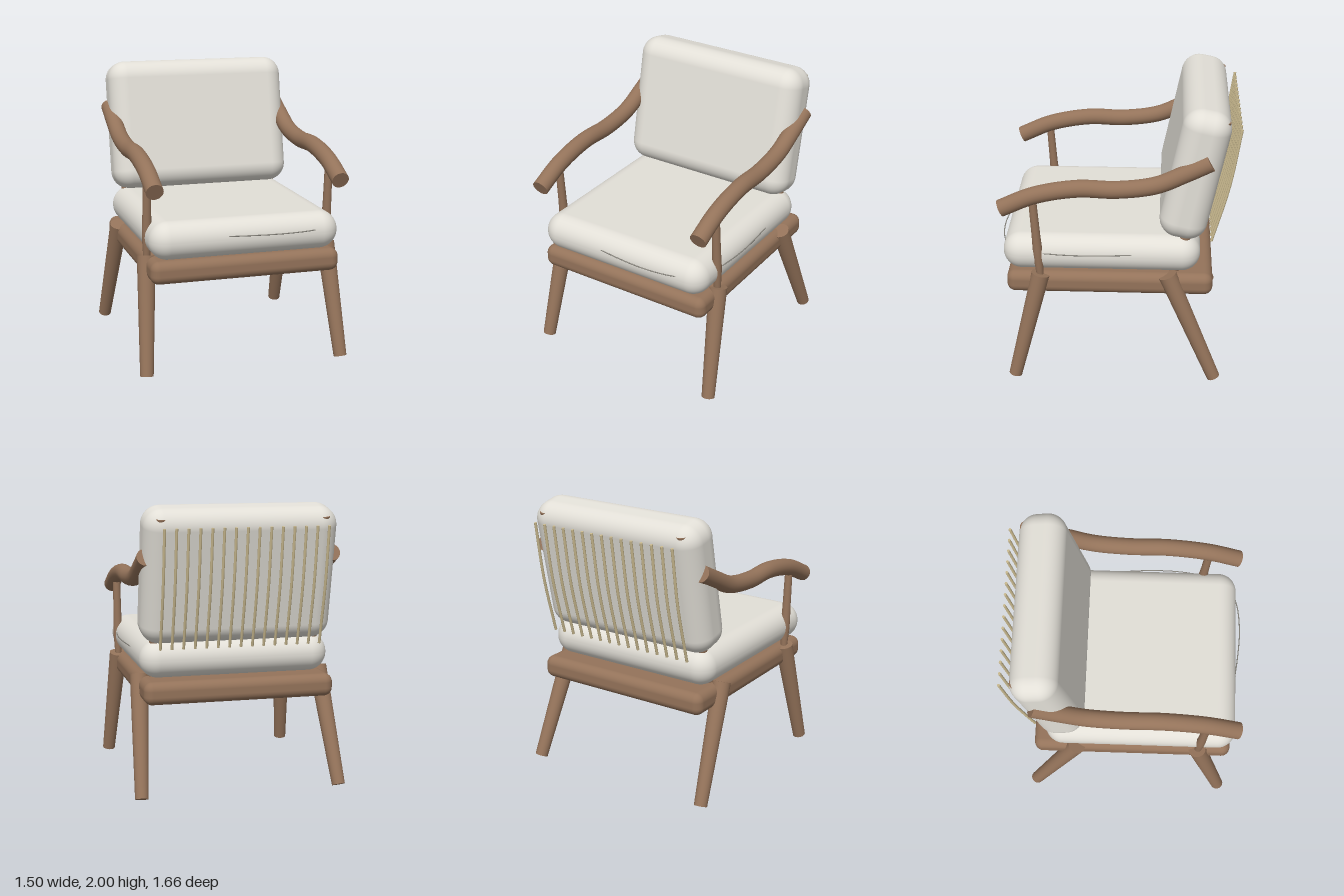
import * as THREE from 'three';
import { RoundedBoxGeometry } from 'three/addons/geometries/RoundedBoxGeometry.js';

const mat = (name, color) => {
  const m = new THREE.MeshStandardMaterial({ color });
  m.name = name;
  return m;
};
const V = (x, y, z) => new THREE.Vector3(x, y, z);

export function createModel() {
  const wood = mat('walnut wood', 0x94735a);
  const fabric = mat('cushion fabric', 0xe2dfd7);
  const cane = mat('pale slat wood', 0xc9b98f);
  const thread = mat('grey piping', 0x8a877f);
  const chair = new THREE.Group();
  chair.name = 'armchair';

  const add = (parent, name, geometry, material) => {
    const mesh = new THREE.Mesh(geometry, material);
    mesh.name = name;
    parent.add(mesh);
    return mesh;
  };

  // Tapered round rod between two points
  const rod = (name, a, b, ra, rb, material) => {
    const dir = b.clone().sub(a);
    const mesh = add(chair, name, new THREE.CylinderGeometry(rb, ra, dir.length(), 24), material);
    mesh.position.copy(a).lerp(b, 0.5);
    mesh.quaternion.setFromUnitVectors(V(0, 1, 0), dir.normalize());
    return mesh;
  };

  // Round bar along a curve, closed with flat discs
  const bar = (name, points, radius, material, steps = 40, sides = 24) => {
    const group = new THREE.Group();
    group.name = name;
    const curve = new THREE.CatmullRomCurve3(points);
    add(group, name + 'Tube', new THREE.TubeGeometry(curve, steps, radius, sides), material);
    for (const t of [0, 1]) {
      const cap = add(group, name + 'End', new THREE.CircleGeometry(radius, sides), material);
      cap.position.copy(curve.getPoint(t));
      cap.quaternion.setFromUnitVectors(V(0, 0, 1), curve.getTangent(t).multiplyScalar(t ? 1 : -1));
    }
    chair.add(group);
  };

  // Seat base and cushions
  const base = add(chair, 'seatFrame', new RoundedBoxGeometry(1.34, 0.16, 1.43, 6, 0.06), wood);
  base.position.set(0, 0.73, 0.055);
  const seat = add(chair, 'seatCushion', new RoundedBoxGeometry(1.34, 0.265, 1.365, 8, 0.13), fabric);
  seat.position.set(0, 0.94, 0.112);
  const back = add(chair, 'backCushion', new RoundedBoxGeometry(1.34, 0.945, 0.33, 8, 0.13), fabric);
  back.position.set(0, 1.527, -0.52);
  back.rotation.x = -0.205;

  for (const s of [1, -1]) {
    const side = s > 0 ? 'left' : 'right';
    // Splayed legs
    rod(side + 'FrontLeg', V(s * 0.705, 0.012, 0.727), V(s * 0.652, 0.805, 0.53), 0.046, 0.064, wood);
    rod(side + 'BackLeg', V(s * 0.705, 0.02, -0.686), V(s * 0.652, 0.81, -0.347), 0.046, 0.064, wood);
    // Back posts, mostly inside the cushion
    rod(side + 'BackPost', V(s * 0.56, 0.76, -0.375), V(s * 0.56, 1.92, -0.71), 0.04, 0.04, wood);

    // Turned support between front leg and arm
    const profile = [[0.024, 0], [0.028, 0.06], [0.033, 0.14], [0.033, 0.2], [0.03, 0.3], [0.027, 0.6]]
      .map(p => new THREE.Vector2(...p));
    const support = add(chair, side + 'ArmSupport', new THREE.LatheGeometry(profile, 20), wood);
    support.position.set(s * 0.65, 0.8, 0.535);
    support.rotation.x = 0.065;

    // Flowing armrest
    const arm = [[1.3, 0.79], [1.4, 0.56], [1.455, 0.27], [1.452, 0], [1.49, -0.26], [1.575, -0.45], [1.66, -0.62]];
    bar(side + 'Armrest', arm.map(([y, z]) => V(s * 0.65, y, z)), 0.06, wood);
  }

  // Row of bowed slats behind the back cushion
  for (let i = 0; i < 15; i++) {
    const x = -0.56 + i * 0.08;
    bar('backSlat', [V(x, 1.035, -0.643), V(x, 1.45, -0.753), V(x, 1.86, -0.82)], 0.01, cane, 10, 10);
  }

  // Fine piping bowing out of the cushion's front and left side
  bar('frontPiping', [V(-0.17, 0.965, 0.785), V(0, 0.965, 0.808), V(0.2, 0.965, 0.823),
    V(0.37, 0.965, 0.812), V(0.49, 0.965, 0.785)], 0.004, thread, 24, 8);
  bar('sidePiping', [V(0.663, 0.965, 0.52), V(0.682, 0.965, 0.35), V(0.684, 0.965, 0.15),
    V(0.664, 0.965, -0.1)], 0.004, thread, 24, 8);
  return chair;
}
